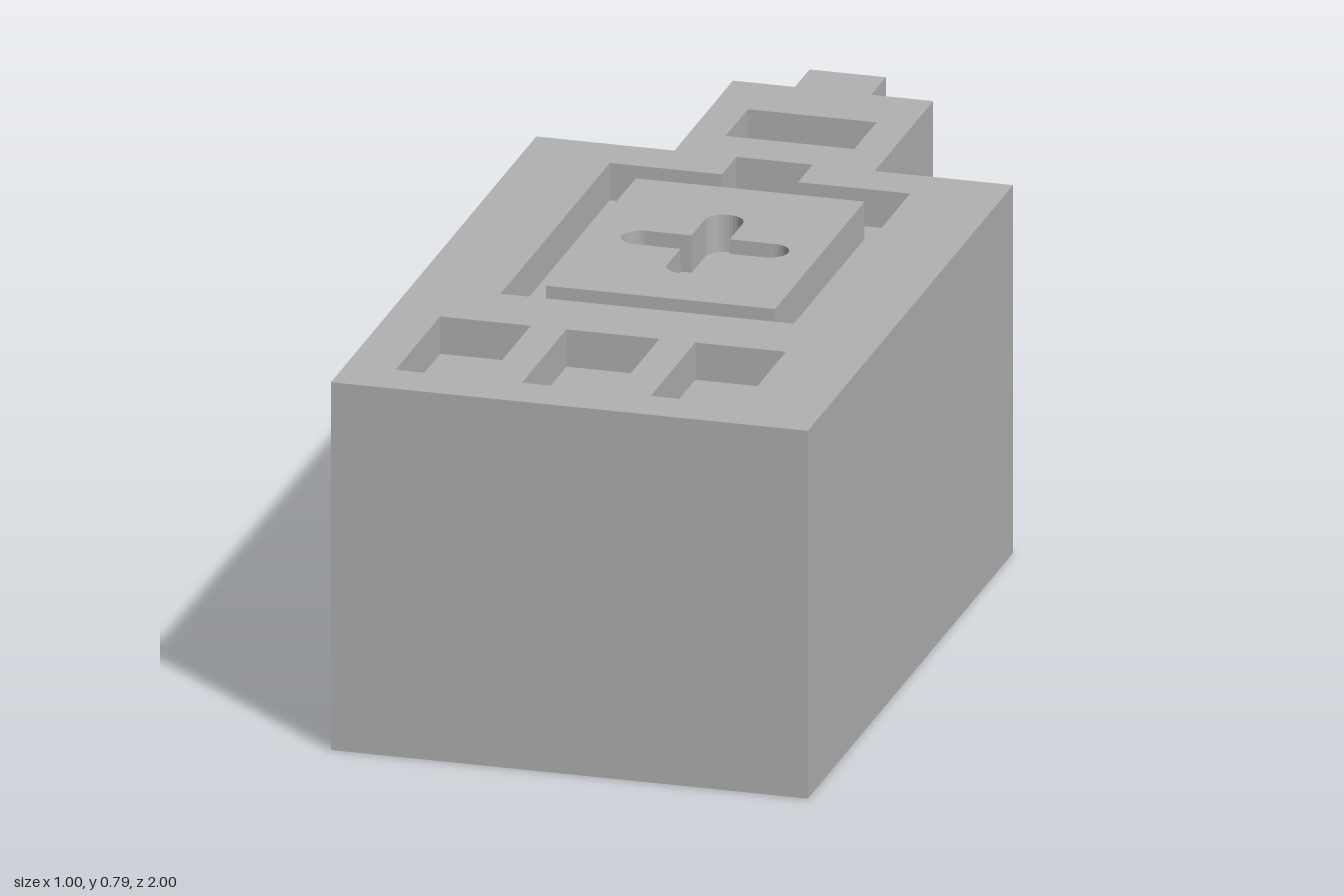
import * as THREE from 'three';

const TOP = 0.79;
const FLOOR = 0.71;

// Plan loops are [x, z] points; stored as Vector2(x, -z), anticlockwise from above.
const loop = (pts) => {
  const v = pts.map(([x, z]) => new THREE.Vector2(x, -z));
  return THREE.ShapeUtils.isClockWise(v) ? v.reverse() : v;
};
const rect = (x0, x1, z0, z1) => loop([[x0, z0], [x0, z1], [x1, z1], [x1, z0]]);
// Left-right symmetric outline from its +x half
const mirrored = (half) => loop([...half, ...half.map(([x, z]) => [-x, z]).reverse()]);

// Cross with round-ended arms
function crossLoop(cz, length, w) {
  const pts = [];
  for (let k = 0; k < 4; k++) {
    const a = k * Math.PI / 2;
    for (let i = 0; i <= 16; i++) {
      const t = a - Math.PI / 2 + Math.PI * i / 16;
      pts.push([(length - w) * Math.cos(a) + w * Math.cos(t),
        cz - (length - w) * Math.sin(a) - w * Math.sin(t)]);
    }
    const c = a + Math.PI / 4, r = w * Math.SQRT2;
    pts.push([r * Math.cos(c), cz - r * Math.sin(c)]);
  }
  return loop(pts);
}

// Flat horizontal face with optional holes
function capGeometry(outline, holes, y, down = false) {
  const shape = new THREE.Shape(outline);
  shape.holes = holes.map((h) => new THREE.Path(h));
  const g = new THREE.ShapeGeometry(shape).rotateX(-Math.PI / 2);
  if (down) g.rotateZ(Math.PI); // symmetric outline, turned to face downwards
  return g.translate(0, y, 0);
}

// Vertical walls along a loop, facing outwards, or inwards for a recess
function wallGeometry(outline, y0, y1, inward = false) {
  const pts = inward ? [...outline].reverse() : outline;
  const pos = [];
  pts.forEach((a, i) => {
    const b = pts[(i + 1) % pts.length];
    const a0 = [a.x, y0, -a.y], b0 = [b.x, y0, -b.y];
    const a1 = [a.x, y1, -a.y], b1 = [b.x, y1, -b.y];
    pos.push(...a0, ...b0, ...b1, ...a0, ...b1, ...a1);
  });
  const g = new THREE.BufferGeometry();
  g.setAttribute('position', new THREE.Float32BufferAttribute(pos, 3));
  g.computeVertexNormals();
  return g;
}

export function createModel() {
  const model = new THREE.Group();
  model.name = 'recessedBlock';
  const grey = new THREE.MeshStandardMaterial({ color: 0xb2b2b2 });
  grey.name = 'grey';
  const add = (name, geometry) => {
    const mesh = new THREE.Mesh(geometry, grey);
    mesh.name = name;
    model.add(mesh);
  };

  // Stepped block outline and the recesses cut in its top
  const body = mirrored([[0.5, 1], [0.5, -0.475], [0.21, -0.475], [0.21, -0.895], [0.08, -0.895], [0.08, -1]]);
  const channel = mirrored([[0.315, 0.415], [0.315, -0.37], [0.08, -0.37], [0.08, -0.475]]);
  const island = rect(-0.24, 0.24, -0.3, 0.345);
  const cross = crossLoop(0.025, 0.175, 0.04);
  const pockets = {
    rightPocket: rect(-0.395, -0.205, 0.575, 0.895),
    middlePocket: rect(-0.13, 0.065, 0.575, 0.895),
    leftPocket: rect(0.14, 0.33, 0.575, 0.895),
    rearPocket: rect(-0.135, 0.135, -0.745, -0.585),
  };

  // Main block
  add('blockSides', wallGeometry(body, 0, TOP));
  add('blockTop', capGeometry(body, [channel, ...Object.values(pockets)], TOP));
  add('blockBase', capGeometry(body, [], 0, true));

  // Channel around the raised island
  add('channelWalls', wallGeometry(channel, FLOOR, TOP, true));
  add('channelFloor', capGeometry(channel, [island], FLOOR));
  add('islandSides', wallGeometry(island, FLOOR, TOP));
  add('islandTop', capGeometry(island, [cross], TOP));

  // Cross recess and rectangular pockets
  for (const [name, outline] of Object.entries({ cross, ...pockets })) {
    add(name + 'Walls', wallGeometry(outline, FLOOR, TOP, true));
    add(name + 'Floor', capGeometry(outline, [], FLOOR));
  }
  return model;
}
